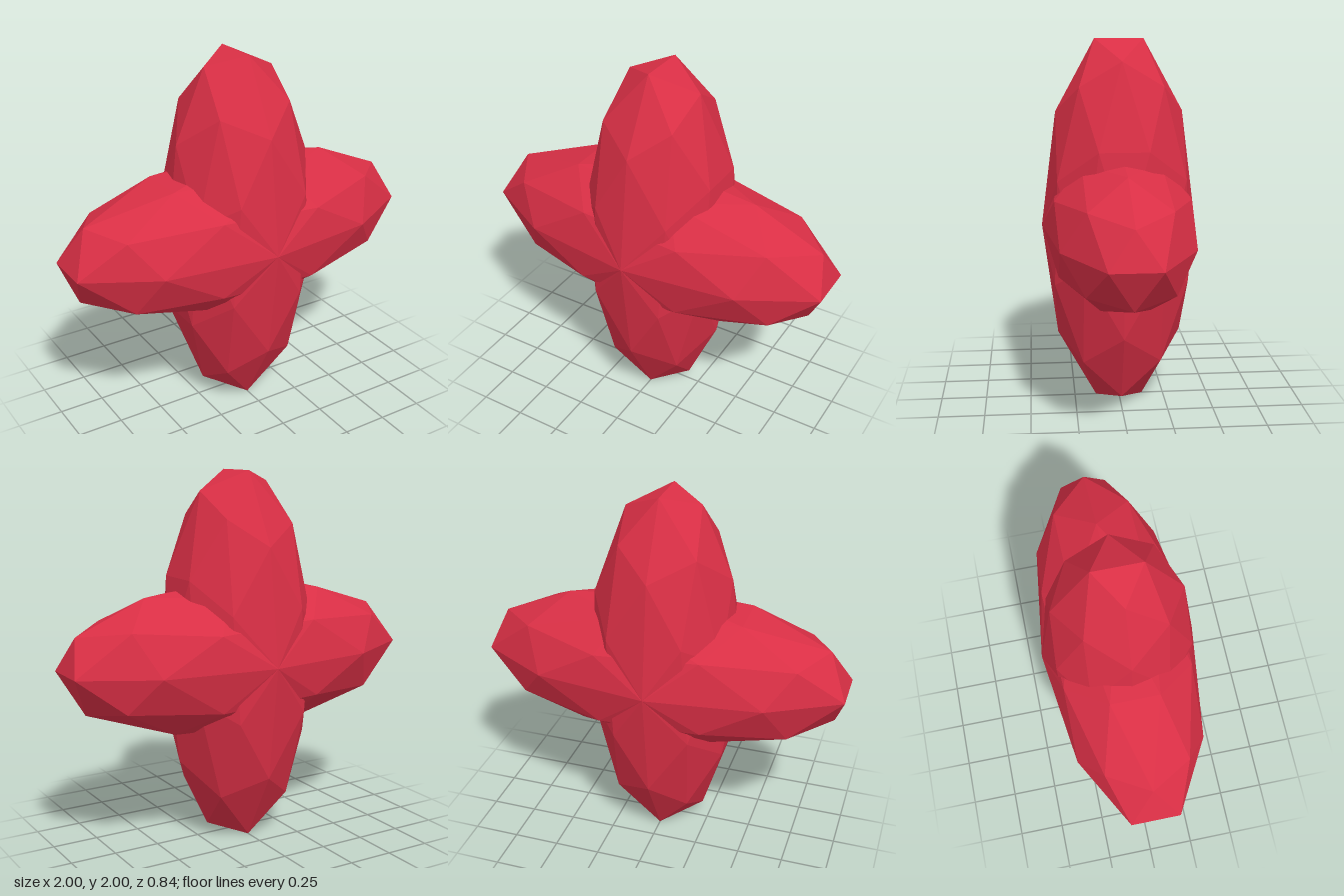
import * as THREE from 'three';

export function createModel() {
  const group = new THREE.Group();
  const red = new THREE.MeshStandardMaterial({ color: 0xd92f45, flatShading: true });
  red.name = 'crimson red';

  // Faceted petal: a low-poly sphere with a corner turned to the side, stretched upward
  const petal = new THREE.IcosahedronGeometry(1, 1);
  petal.rotateZ(Math.atan((1 + Math.sqrt(5)) / 2));
  petal.scale(0.4206, 1.0515, 0.4206);
  petal.computeVertexNormals();

  // Two crossed petals share one centre
  for (const [name, turn] of [['verticalPetal', 0], ['horizontalPetal', -Math.PI / 2]]) {
    const mesh = new THREE.Mesh(petal, red);
    mesh.name = name;
    mesh.position.y = 1;
    mesh.rotation.z = turn;
    group.add(mesh);
  }

  group.name = 'crossedPetals';
  return group;
}
